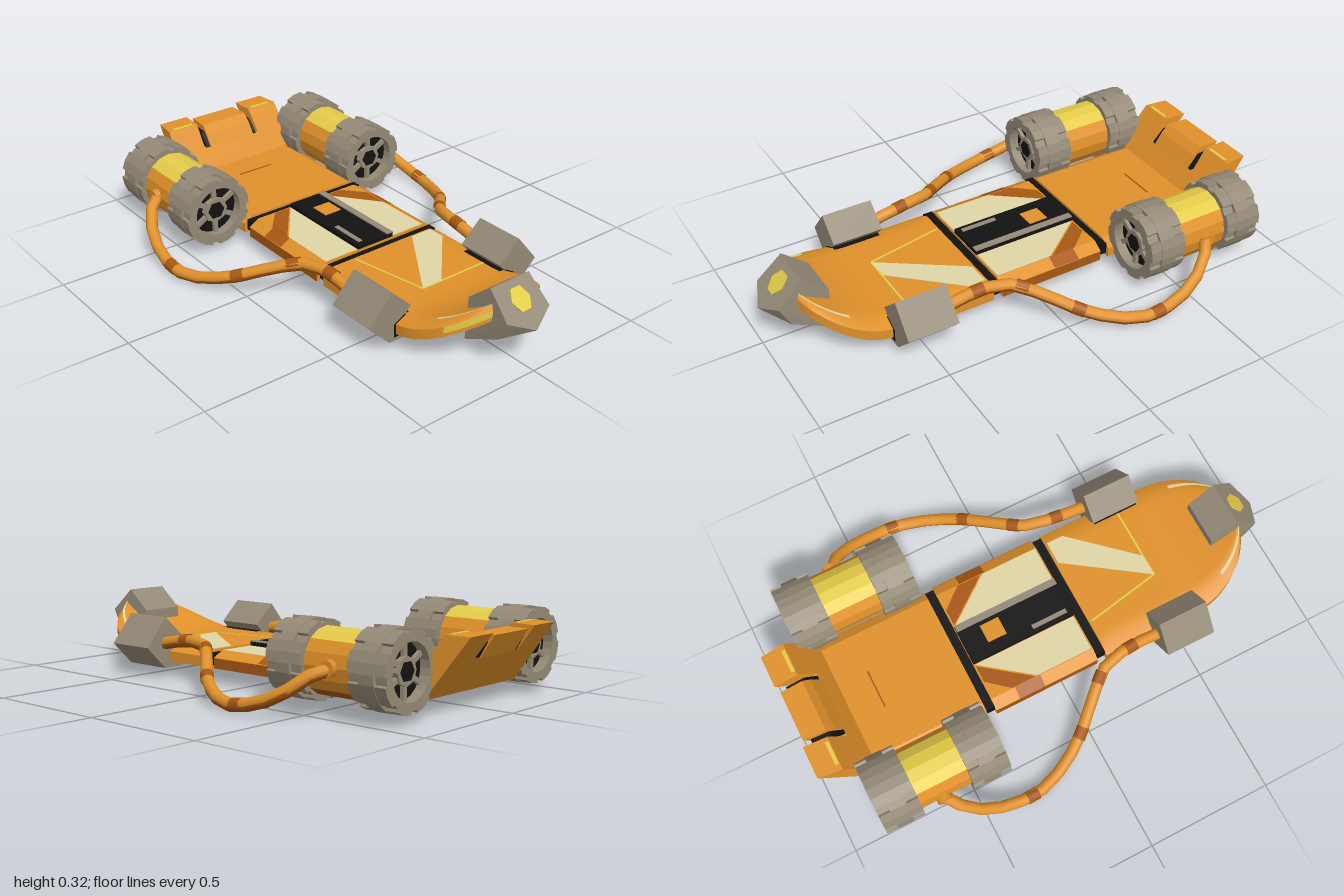
import * as THREE from 'three';
import { ConvexGeometry } from 'three/addons/geometries/ConvexGeometry.js';

const paint = (name, color, side = THREE.FrontSide) => {
  const m = new THREE.MeshStandardMaterial({ color, side });
  m.name = name;
  return m;
};

export function createModel() {
  const orange = paint('orange', 0xe0912a), brown = paint('burnt orange', 0xa85812, THREE.DoubleSide);
  const yellow = paint('yellow', 0xe4cb48, THREE.DoubleSide), grey = paint('warm grey', 0x958a77);
  const black = paint('black', 0x121212), cream = paint('cream', 0xdfd5a6, THREE.DoubleSide);
  const model = new THREE.Group();
  model.name = 'hoverboard';

  const add = (name, geo, mat, parent = model) => {
    const mesh = new THREE.Mesh(geo, mat);
    mesh.name = name;
    parent.add(mesh);
    return mesh;
  };
  const flat = (geo) => {
    const g = geo.toNonIndexed();
    g.computeVertexNormals();
    return g;
  };
  const shapeOf = (pts) => new THREE.Shape(pts.map(([a, b]) => new THREE.Vector2(a, b)));
  const box = (name, x0, x1, y0, y1, z0, z1, mat) =>
    add(name, new THREE.BoxGeometry(x1 - x0, y1 - y0, z1 - z0)
      .translate((x0 + x1) / 2, (y0 + y1) / 2, (z0 + z1) / 2), mat);
  // Extrudes a [z, y] section along x
  const alongX = (shape, x0, x1) =>
    new THREE.ExtrudeGeometry(shape, { depth: x1 - x0, bevelEnabled: false })
      .rotateY(Math.PI / 2).translate(x0, 0, 0);
  const section = (pts, x0, x1) => alongX(shapeOf(pts.map(([z, y]) => [-z, y])), x0, x1);
  // Thin plate from [x, z] points
  const plate = (name, pts, y, mat) =>
    add(name, new THREE.ExtrudeGeometry(shapeOf(pts.map(([x, z]) => [x, -z])),
      { depth: 0.004, bevelEnabled: false }).rotateX(-Math.PI / 2).translate(0, y, 0), mat);
  // Open strip between two edges given as functions of x
  const ribbon = (name, x0, x1, edgeA, edgeB, mat, flip) => {
    const pos = [], index = [], n = 10;
    for (let i = 0; i <= n; i++) {
      const x = x0 + (x1 - x0) * i / n, k = 2 * i;
      pos.push(x, ...edgeA(x), x, ...edgeB(x));
      if (i < n) index.push(...(flip ? [k, k + 2, k + 1, k + 1, k + 2, k + 3] : [k, k + 1, k + 2, k + 1, k + 3, k + 2]));
    }
    const g = new THREE.BufferGeometry();
    g.setAttribute('position', new THREE.Float32BufferAttribute(pos, 3));
    g.setIndex(index);
    g.computeVertexNormals();
    add(name, g, mat);
  };

  // Rear and middle deck
  const deckSection = [[-0.283, 0.06], [0.283, 0.06], [0.283, 0.1], [0.24, 0.125], [-0.24, 0.125], [-0.283, 0.1]];
  add('rearDeck', section(deckSection, -0.79, -0.328), orange);
  add('middleDeck', section(deckSection, -0.292, 0.152), orange);
  box('rearJoint', -0.328, -0.292, 0.07, 0.115, -0.27, 0.27, black);
  box('frontJoint', 0.152, 0.19, 0.07, 0.115, -0.27, 0.27, black);
  box('rearDeckSeam', -0.668, -0.662, 0.12, 0.127, -0.08, 0.08, brown);

  // Front deck with rounded, upswept nose
  const halfWidth = (x) => 0.283 * Math.sqrt(Math.max(0, 1 - (Math.max(0, x - 0.62) / 0.28) ** 2));
  const lift = (x) => 0.12 * (Math.max(0, x - 0.55) / 0.33) ** 2;
  const front = new THREE.BoxGeometry(1, 1, 1, 28, 1, 12);
  const p = front.attributes.position;
  for (let i = 0; i < p.count; i++) {
    const x = 0.19 + 0.71 * Math.sin((p.getX(i) + 0.5) * Math.PI / 2);
    const top = Math.abs(p.getZ(i)) > 0.49 ? 0.1 : 0.125;
    p.setXYZ(i, x, (p.getY(i) > 0 ? top : 0.06) + lift(x), p.getZ(i) * 2 * halfWidth(x));
  }
  front.computeVertexNormals();
  add('frontDeck', front, orange);
  for (const s of [1, -1])
    ribbon('nosePinstripe', 0.74, 0.885, (x) => [0.129 + lift(x), s * 0.8 * halfWidth(x)],
      (x) => [0.127 + lift(x), s * 0.86 * halfWidth(x)], cream, s < 0);
  ribbon('noseEdgePaint', 0.79, 0.885, (x) => [0.102 + lift(x), halfWidth(x) + 0.004],
    (x) => [0.075 + lift(x), halfWidth(x) + 0.004], yellow, false);

  // Nose bumper
  const bumper = [[0.86, 0.298, 0.09], [0.957, 0.206, 0.1], [0.915, 0.126, 0.1], [0.76, 0.048, 0.1], [0.76, 0.215, 0.09]]
    .flatMap(([x, y, z]) => [new THREE.Vector3(x, y, z), new THREE.Vector3(x, y, -z)]);
  bumper.push(new THREE.Vector3(1, 0.166, 0), new THREE.Vector3(0.76, 0.033, 0));
  add('noseBumper', new ConvexGeometry(bumper), grey);
  const patch = add('noseBumperPatch', new THREE.CylinderGeometry(0.05, 0.05, 0.008, 6).scale(1, 1, 0.85), yellow);
  patch.position.set(0.914, 0.248, 0);
  patch.rotation.z = -Math.atan2(0.132, 0.14);

  // Upswept tail: low centre, two ears and a bar between them
  const tailPart = (name, pts, z0, z1, mat) => {
    const g = new THREE.ExtrudeGeometry(shapeOf(pts), { depth: z1 - z0, bevelEnabled: false }).translate(0, 0, z0);
    const q = g.attributes.position;
    for (let i = 0; i < q.count; i++) q.setZ(i, q.getZ(i) * (1 - 0.4 * (-0.79 - q.getX(i))));
    g.computeVertexNormals();
    add(name, g, mat);
  };
  const ear = [[-0.79, 0.06], [-0.79, 0.125], [-0.905, 0.29], [-1, 0.29], [-0.83, 0.063]];
  tailPart('tailEar', ear, 0.14, 0.283, orange);
  tailPart('tailEar', ear, -0.283, -0.14, orange);
  tailPart('tailCentre', [[-0.79, 0.06], [-0.79, 0.125], [-0.842, 0.2], [-0.933, 0.2], [-0.83, 0.063]], -0.14, 0.14, orange);
  tailPart('tailSlot', [[-0.842, 0.2], [-0.89, 0.255], [-0.965, 0.255], [-0.933, 0.2]], -0.13, 0.13, black);
  tailPart('tailBar', [[-0.838, 0.198], [-0.87, 0.25], [-0.9, 0.28], [-0.99, 0.28], [-0.936, 0.198]], -0.112, 0.112, orange);
  for (const s of [1, -1])
    plate('tailEarLine', [[-0.922, s * 0.15], [-0.908, s * 0.15], [-0.908, s * 0.245], [-0.922, s * 0.245]], 0.288, yellow);

  // Control pad and painted deck stripes
  box('controlPad', -0.29, 0.15, 0.12, 0.142, -0.085, 0.085, black);
  plate('padStrip', [[-0.29, -0.085], [0.15, -0.085], [0.15, -0.057], [-0.29, -0.057]], 0.142, grey);
  plate('padLine', [[-0.02, 0.05], [0.13, 0.05], [0.13, 0.068], [-0.02, 0.068]], 0.142, grey);
  plate('padButton', [[-0.2, -0.04], [-0.12, -0.04], [-0.12, 0.036], [-0.2, 0.036]], 0.142, orange);
  for (const s of [1, -1]) {
    plate('deckStripe', [[-0.285, s * 0.088], [0.146, s * 0.088], [0.146, s * 0.237], [-0.09, s * 0.237]], 0.123, cream);
    plate('deckStripeEdge', [[-0.285, s * 0.095], [-0.285, s * 0.165], [-0.2, s * 0.237], [-0.1, s * 0.237]], 0.123, brown);
    ribbon('deckStripeBevel', -0.19, -0.08, () => [0.128, s * 0.24], () => [0.103, s * 0.284], brown, s < 0);
    box('middleDeckSide', -0.29, 0.15, 0.06, 0.1, s * 0.283 - 0.002, s * 0.283 + 0.002, brown);
  }
  plate('frontStripe', [[0.2, -0.235], [0.27, -0.235], [0.515, -0.01], [0.515, 0.08], [0.2, -0.14]], 0.123, cream);
  plate('frontStripeLine', [[0.511, -0.235], [0.519, -0.235], [0.519, 0.08], [0.511, 0.08]], 0.123, yellow);
  plate('frontStripeLine', [[0.2, 0.135], [0.515, 0.076], [0.515, 0.084], [0.2, 0.143]], 0.123, yellow);

  // Lift rings underneath
  const rimProfile = [[0.13, 0.062], [0.135, 0.04], [0.145, 0.034], [0.175, 0.034], [0.195, 0.062]];
  for (const x of [-0.56, -0.07, 0.41]) {
    const ring = new THREE.Group();
    ring.name = 'liftRing';
    ring.position.set(x, 0, 0);
    model.add(ring);
    add('ringRim', flat(new THREE.LatheGeometry(rimProfile.map(([r, y]) => new THREE.Vector2(r, y)), 24)), grey, ring);
    add('ringHub', new THREE.CylinderGeometry(0.08, 0.075, 0.026, 16).translate(0, 0.049, 0), grey, ring);
    add('ringCore', new THREE.CylinderGeometry(0.042, 0.042, 0.03, 8).translate(0, 0.048, 0), black, ring);
    for (let i = 0; i < 4; i++)
      add('ringSpoke', new THREE.BoxGeometry(0.08, 0.012, 0.03).translate(0.1, 0.056, 0).rotateY(i * Math.PI / 2 + Math.PI / 4), grey, ring);
  }

  // Thruster cap outlines, plain and notched
  const ringShape = (notched) => {
    const pts = [], n = 8;
    for (let i = 0; i < n; i++)
      for (const [f, r] of [[0, 0.142], [0.34, 0.142], [0.68, 0.142], [0.7, 0.131], [0.98, 0.131]]) {
        const a = (i + f) / n * Math.PI * 2, k = notched ? r : 0.144;
        pts.push([k * Math.cos(a), k * Math.sin(a)]);
      }
    const s = shapeOf(pts);
    s.holes.push(new THREE.Path().absarc(0, 0, 0.1, 0, Math.PI * 2, true));
    return s;
  };

  for (const s of [1, -1]) {
    // Thruster
    const thruster = new THREE.Group();
    thruster.name = s > 0 ? 'leftThruster' : 'rightThruster';
    thruster.position.set(0, 0.178, s * 0.387);
    model.add(thruster);
    const shell = (name, start, mat) =>
      add(name, flat(new THREE.CylinderGeometry(0.12, 0.12, 0.24, 4, 1, true, start * Math.PI, Math.PI / 2)
        .rotateZ(Math.PI / 2).translate(-0.605, 0, 0)), mat, thruster);
    shell('thrusterTopPanel', 0.25, yellow);
    shell('thrusterRearPanel', 0.75, orange);
    shell('thrusterUnderside', 1.25, brown);
    shell('thrusterFrontPanel', 1.75, orange);
    for (const [x, dir] of [[-0.863, 1], [-0.35, -1]]) {
      const span = (a, b) => [x + dir * a, x + dir * b].sort((m, n) => m - n);
      add('capTeeth', alongX(ringShape(true), ...span(0, 0.045)), grey, thruster);
      add('capBand', alongX(ringShape(false), ...span(0.045, 0.11)), grey, thruster);
      add('capTeeth', alongX(ringShape(true), ...span(0.11, 0.155)), grey, thruster);
      const disc = (name, r, at, len, sides, mat) =>
        add(name, flat(new THREE.CylinderGeometry(r, r, len, sides).rotateZ(Math.PI / 2).translate(x + dir * at, 0, 0)), mat, thruster);
      disc('capRecess', 0.104, 0.06, 0.04, 16, black);
      disc('capHub', 0.052, 0.034, 0.03, 8, grey);
      disc('capCore', 0.036, 0.03, 0.03, 6, black);
      for (let i = 0; i < 6; i++)
        add('capSpoke', new THREE.BoxGeometry(0.02, 0.06, 0.018).translate(x + dir * 0.035, 0.075, 0)
          .rotateX(i * Math.PI / 3), grey, thruster);
    }

    // Clamp gripping the deck edge over a black gasket
    add('edgeClamp', section([[0.4, 0.125], [0.305, 0.238], [0.215, 0.155], [0.282, 0.08], [0.282, 0.056],
      [0.215, 0.056], [0.215, 0.036], [0.31, 0.036]].map(([z, y]) => [s * z, y]), 0.4, 0.605), grey);
    add('clampGasket', section([[0.22, 0.052], [0.29, 0.052], [0.29, 0.103], [0.245, 0.128], [0.22, 0.128]]
      .map(([z, y]) => [s * z, y]), 0.41, 0.608), black);

    // Cable from thruster to clamp, darker underneath
    const curve = new THREE.CatmullRomCurve3([[-0.63, 0.18, 0.49], [-0.59, 0.165, 0.545], [-0.54, 0.12, 0.585],
      [-0.43, 0.06, 0.62], [-0.26, 0.028, 0.62], [-0.08, 0.062, 0.535], [0.05, 0.12, 0.42], [0.15, 0.155, 0.335],
      [0.26, 0.16, 0.31], [0.41, 0.135, 0.305]].map(([x, y, z]) => new THREE.Vector3(x, y, s * z)));
    add('cable', new THREE.TubeGeometry(curve, 14, 0.023, 10), orange);
    add('cableUnderside', new THREE.TubeGeometry(curve, 14, 0.022, 10).translate(0, -0.004, 0), brown);
    for (const t of [0.32, 0.57, 0.75, 0.89]) {
      const part = new THREE.LineCurve3(curve.getPointAt(t - 0.02), curve.getPointAt(t + 0.02));
      add('cableBand', new THREE.TubeGeometry(part, 1, 0.025, 10), brown);
    }
    add('cableSocket', new THREE.CylinderGeometry(0.03, 0.03, 0.04, 8).rotateX(Math.PI / 2)
      .translate(-0.62, 0.178, s * 0.505), orange);
  }
  return model;
}
